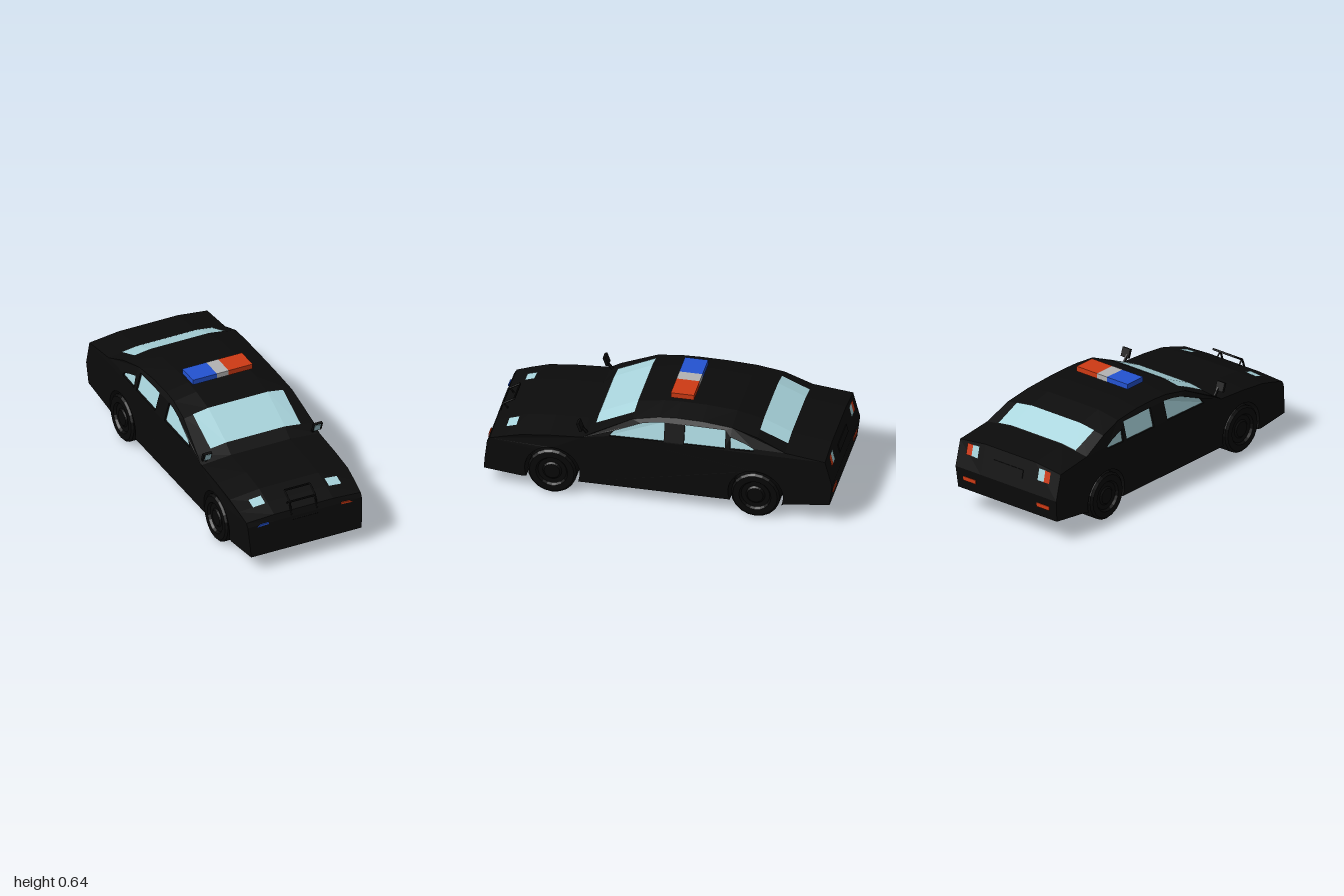
import * as THREE from 'three';

const paint = (color) => new THREE.MeshStandardMaterial({ color, flatShading: true, side: THREE.DoubleSide });

// Centreline profile from front bumper over the roof to the tail: [z, y, drop at the outer edge]
const PROFILE = [
  [1, 0.095, 0], [0.995, 0.16, 0], [0.98, 0.28, 0], [0.965, 0.315, 0.01], [0.88, 0.347, 0.015],
  [0.78, 0.38, 0.02], [0.62, 0.398, 0.02], [0.43, 0.405, 0.015], [0.37, 0.45, 0.024],
  [0.15, 0.555, 0.024], [0, 0.58, 0.024], [-0.1, 0.585, 0.024], [-0.25, 0.583, 0.024],
  [-0.42, 0.57, 0.024], [-0.57, 0.535, 0.024], [-0.73, 0.465, 0.024], [-0.96, 0.435, 0.022],
  [-1, 0.26, 0], [-0.985, 0.13, 0],
];
// Half width by height: [y, x]
const WIDTH = [[0.08, 0.36], [0.28, 0.371], [0.41, 0.37], [0.505, 0.354], [0.562, 0.322]];
const RIDGE = 0.185, WHEEL_Z = [0.605, -0.56], ARCH_R = 0.158;

function lerpTable(table, t, col = 1) {
  if (t <= table[0][0]) return table[0][col];
  for (let i = 1; i < table.length; i++) {
    const a = table[i - 1], b = table[i];
    if (t <= b[0]) return a[col] + (b[col] - a[col]) * (t - a[0]) / (b[0] - a[0]);
  }
  return table[table.length - 1][col];
}
const halfWidth = (y, z) => lerpTable(WIDTH, y) * (1 - 0.04 * THREE.MathUtils.clamp((z - 0.8) / 0.2, 0, 1));

// Height of the upper skin at (x, z)
const UPPER = PROFILE.slice(3, 17).reverse();
function skinY(x, z) {
  const y = lerpTable(UPPER, z), drop = lerpTable(UPPER, z, 2);
  const edge = halfWidth(y - drop, z);
  return y - drop * Math.max(0, (Math.abs(x) - RIDGE) / (edge - RIDGE));
}

// Sheet through rows of points
function sheet(rows) {
  const pos = rows.flat(2), index = [], n = rows[0].length;
  for (let r = 0; r < rows.length - 1; r++) {
    for (let c = 0; c < n - 1; c++) {
      const a = r * n + c;
      index.push(a, a + 1, a + n, a + 1, a + n + 1, a + n);
    }
  }
  const g = new THREE.BufferGeometry();
  g.setAttribute('position', new THREE.Float32BufferAttribute(pos, 3));
  g.setIndex(index);
  g.computeVertexNormals();
  return g;
}

// Bends a flat (z, y) side geometry to the body width
function bendSide(g, inset) {
  const p = g.attributes.position;
  for (let i = 0; i < p.count; i++) {
    const z = p.getX(i), y = p.getY(i), t = p.getZ(i);
    p.setXYZ(i, halfWidth(y, z) - t - inset, y, z);
  }
  g.computeVertexNormals();
  return g;
}

export function createModel() {
  const car = new THREE.Group();
  car.name = 'patrolCar';
  const black = paint(0x0b0b0b), rubber = paint(0x080808), glass = paint(0xaad6de);
  const blue = paint(0x2453d2), orange = paint(0xce3a14), grey = paint(0xb4b4b4);

  const add = (name, geometry, material, parent = car) => {
    const m = new THREE.Mesh(geometry, material);
    m.name = name;
    parent.add(m);
    return m;
  };
  const box = (name, w, h, d, x, y, z, material, parent) => {
    const m = add(name, new THREE.BoxGeometry(w, h, d), material, parent);
    m.position.set(x, y, z);
    return m;
  };
  const bar = (name, points, r, material, parent) => {
    const path = new THREE.CurvePath();
    const v = points.map((p) => new THREE.Vector3(...p));
    for (let i = 1; i < v.length; i++) path.add(new THREE.LineCurve3(v[i - 1], v[i]));
    return add(name, new THREE.TubeGeometry(path, 12, r, 6), material, parent);
  };

  // Nose, bonnet, roof, boot and tail in one faceted skin
  add('upperBody', sheet(PROFILE.map(([z, y, drop]) => {
    const e = halfWidth(y - drop, z);
    return [[-e, y - drop, z], [-RIDGE, y, z], [RIDGE, y, z], [e, y - drop, z]];
  })), black);

  // Floor, narrowed between the wheel wells
  const floor = [[1, 0.095, 0.345], [0.78, 0.08, 0.36]];
  for (const wz of WHEEL_Z) {
    const a = wz + 0.148, b = wz - 0.148;
    floor.push([a, 0.085, 0.36], [a, 0.085, 0.2], [b, 0.085, 0.2], [b, 0.085, 0.36]);
  }
  floor.push([-0.72, 0.095, 0.36], [-0.985, 0.13, 0.363]);
  add('floor', sheet(floor.map(([z, y, x]) => [[x, y, z], [-x, y, z]])), black);

  // Side windows: corners as [z, y]
  const windows = {
    frontWindow: [[0.28, 0.418], [0.25, 0.455], [0.1, 0.515], [0.03, 0.527], [-0.035, 0.532], [-0.035, 0.422]],
    rearWindow: [[-0.15, 0.422], [-0.15, 0.532], [-0.385, 0.53], [-0.385, 0.424]],
    quarterWindow: [[-0.415, 0.425], [-0.415, 0.498], [-0.5, 0.468], [-0.55, 0.443], [-0.55, 0.428]],
  };
  const outline = new THREE.Shape();
  outline.moveTo(-0.985, 0.13);
  outline.lineTo(-0.72, 0.095);
  for (const wz of [...WHEEL_Z].reverse()) outline.absarc(wz, 0.14, ARCH_R, Math.PI + 0.355, -0.355, true);
  outline.lineTo(0.78, 0.08);
  for (const [z, y, drop] of PROFILE.slice(0, -1)) outline.lineTo(z, y - drop);
  const toPoints = (list) => list.map(([z, y]) => new THREE.Vector2(z, y));
  for (const w of Object.values(windows)) outline.holes.push(new THREE.Path(toPoints(w)));

  // Tyre and rim turned as one profile
  const wheelProfile = [[0, -0.08], [0.128, -0.08], [0.14, -0.068], [0.14, 0.068], [0.128, 0.08], [0.092, 0.08],
    [0.082, 0.066], [0.055, 0.066], [0.045, 0.074], [0, 0.074]].map((p) => new THREE.Vector2(...p));
  const wheelGeo = new THREE.LatheGeometry(wheelProfile, 20).rotateZ(-Math.PI / 2);

  // Everything that is mirrored on both sides
  for (const s of [1, -1]) {
    const side = new THREE.Group();
    side.name = s > 0 ? 'leftSide' : 'rightSide';
    side.scale.x = s;
    car.add(side);

    const panel = new THREE.ExtrudeGeometry(outline, { depth: 0.015, bevelEnabled: false, curveSegments: 10 });
    add('sidePanel', bendSide(panel, 0), black, side);
    for (const [name, w] of Object.entries(windows)) {
      add(name, bendSide(new THREE.ShapeGeometry(new THREE.Shape(toPoints(w))), 0.011), glass, side);
    }

    for (const wz of WHEEL_Z) {
      const end = wz > 0 ? 'front' : 'rear';
      add(end + 'Wheel', wheelGeo, rubber, side).position.set(0.295, 0.14, wz);
      // Wheel well: half drum with an inner wall
      const drum = new THREE.CylinderGeometry(ARCH_R, ARCH_R, 0.16, 14, 1, true, -0.355, Math.PI + 0.71);
      drum.rotateZ(Math.PI / 2).rotateX(0);
      const well = new THREE.Group();
      well.name = end + 'WheelWell';
      well.position.set(0.28, 0.14, wz);
      side.add(well);
      const shell = add('wellDrum', drum, black, well);
      const wall = add('wellWall', new THREE.CircleGeometry(ARCH_R, 20, -0.355, Math.PI + 0.71), black, well);
      wall.rotation.y = Math.PI / 2;
      wall.position.x = -0.08;
      // Turn the open part of the drum downward
      shell.geometry.computeBoundingBox();
      if (shell.geometry.boundingBox.max.y < ARCH_R - 0.01) shell.rotation.x = Math.PI;
    }

    // Door mirror
    const mirror = new THREE.Group();
    mirror.name = 'doorMirror';
    mirror.position.set(0.347, 0.453, 0.448);
    mirror.rotation.x = 0.35;
    side.add(mirror);
    box('mirrorHousing', 0.055, 0.054, 0.016, 0, 0, 0, black, mirror);
    box('mirrorGlass', 0.036, 0.046, 0.004, -0.004, 0, 0.009, glass, mirror);
    bar('mirrorArm', [[0.335, 0.445, 0.445], [0.335, 0.395, 0.405]], 0.009, black, side);

    // Headlamp lying on the nose
    const lampRow = (z) => [0.2, 0.277].map((x) => [x, skinY(x, z) + 0.004, z]);
    add('headlamp', sheet([lampRow(0.885), lampRow(0.828)]), glass, side);
    // Front indicator, slanted towards the outside
    const ind = new THREE.Shape(toPoints([[0.227, 0.275], [0.297, 0.272], [0.28, 0.285], [0.227, 0.287]]));
    const indicator = add('indicator', new THREE.ExtrudeGeometry(ind, { depth: 0.006, bevelEnabled: false }), s > 0 ? orange : blue, side);
    indicator.position.z = 0.98;

    // Tail lamps on the sloping rear face
    const tailZ = (y) => -1 + 0.04 * (y - 0.26) / 0.175 - 0.005;
    const tail = (name, x0, x1, y0, y1, m) => add(name,
      sheet([y0, y1].map((y) => [[x1, y, tailZ(y)], [x0, y, tailZ(y)]])), m, side);
    tail('reversingLamp', 0.22, 0.265, 0.345, 0.412, glass);
    tail('brakeLamp', 0.265, 0.305, 0.345, 0.412, orange);
    box('rearReflector', 0.09, 0.024, 0.008, 0.27, 0.2, -0.994, orange, side);

    // Push bar upright
    bar('pushBarUpright', [[0.08, 0.14, 0.985], [0.08, 0.28, 0.975], [0.08, 0.36, 0.95], [0.08, 0.4, 0.885]], 0.006, black, side);
    bar('pushBarStay', [[0.08, 0.365, 0.945], [0.08, 0.335, 0.92]], 0.005, black, side);
  }

  // Windscreen and rear window following the skin
  const pane = (name, z0, z1) => add(name, sheet([z0, z1].map((z) =>
    [-0.283, -RIDGE, RIDGE, 0.283].map((x) => [x, skinY(x, z) + 0.004, z]))), glass);
  pane('windscreen', 0.37, 0.15);
  pane('rearWindscreen', -0.57, -0.73);

  // Push bar cross members
  for (const [y, z] of [[0.14, 0.985], [0.215, 0.982], [0.262, 0.978], [0.36, 0.95], [0.4, 0.885]]) {
    bar('pushBarRail', [[-0.08, y, z], [0.08, y, z]], 0.006, black);
  }

  // Plate holder at the rear
  const plate = box('plateHolder', 0.22, 0.05, 0.008, 0, 0.345, -0.981, black);
  plate.rotation.x = 0.22;

  // Roof light bar
  box('lightBarMount', 0.11, 0.04, 0.02, 0, 0.59, -0.1, black);
  box('blueLight', 0.15, 0.031, 0.133, -0.112, 0.6205, -0.103, blue);
  box('lightBarCentre', 0.074, 0.031, 0.133, 0, 0.6205, -0.103, grey);
  box('orangeLight', 0.15, 0.031, 0.133, 0.112, 0.6205, -0.103, orange);

  return car;
}
